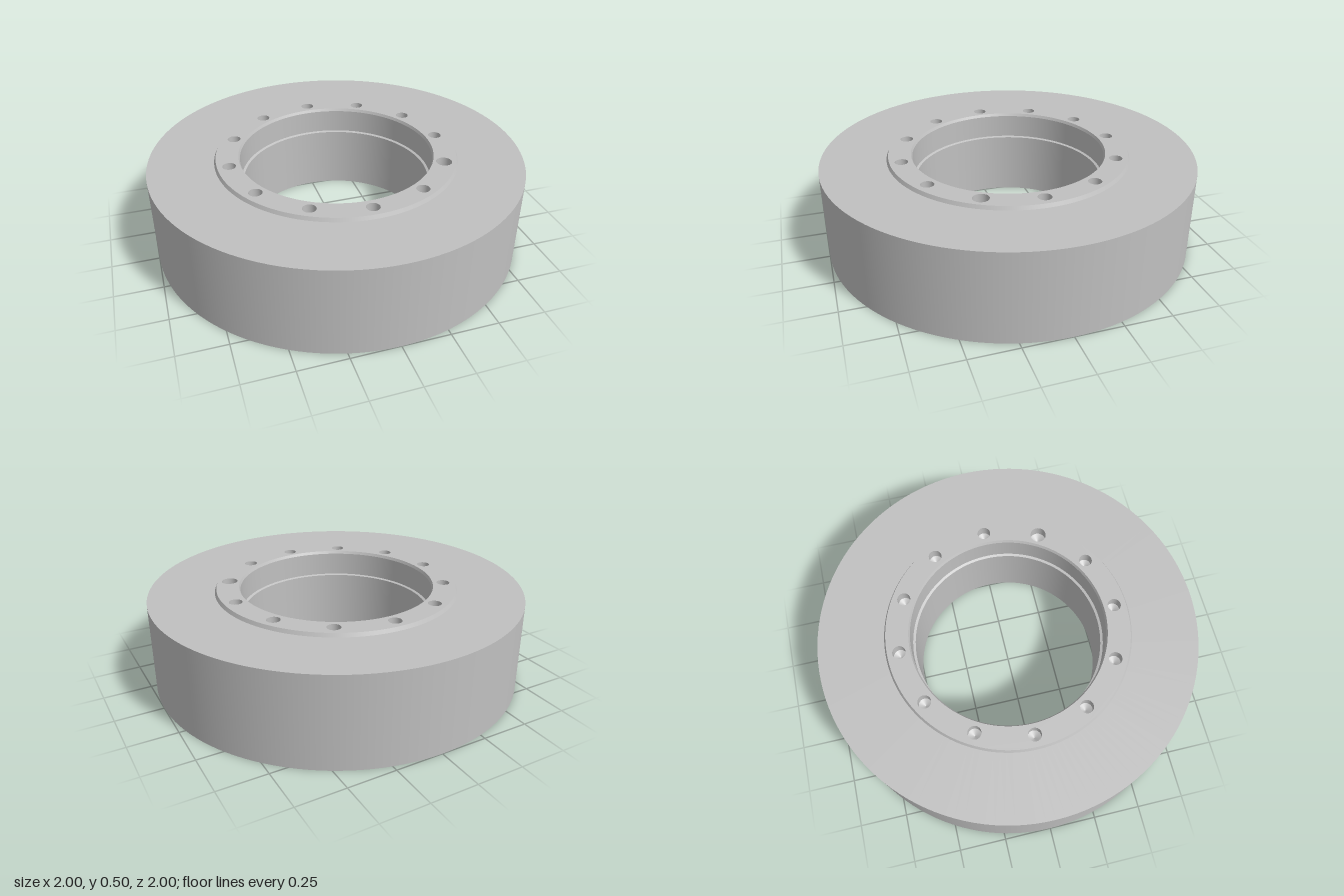
import * as THREE from 'three';

const SEG = 128, HOLE_SEG = 32;
const TOP = 0.5, BODY = 0.481;

export function createModel() {
  const model = new THREE.Group();
  model.name = 'ringBlock';
  const steel = new THREE.MeshStandardMaterial({ color: 0xc0c0c0 });
  steel.name = 'grey steel';

  const add = (name, geometry, parent = model) => {
    const mesh = new THREE.Mesh(geometry, steel);
    mesh.name = name;
    parent.add(mesh);
    return mesh;
  };

  // One turned face between two profile points, so every edge stays sharp
  const turned = (name, r0, y0, r1, y1, seg = SEG, parent = model) =>
    add(name, new THREE.LatheGeometry(
      [new THREE.Vector2(r0, y0), new THREE.Vector2(r1, y1)], seg), parent);

  // Points around a circle
  const circle = (cx, cy, r, seg) => Array.from({ length: seg }, (_, i) => {
    const a = (i / seg) * Math.PI * 2;
    return new THREE.Vector2(cx + r * Math.cos(a), cy + r * Math.sin(a));
  });

  // Body: underside, outer wall and shoulder
  turned('underside', 0.503, 0, 1, 0);
  turned('outerWall', 1, 0, 1, BODY);
  turned('shoulder', 1, BODY, 0.652, BODY);

  // Raised flange edge
  turned('flangeEdge', 0.652, BODY, 0.643, TOP);

  // Bore: top chamfer, wider upper wall, small ledge, lower wall
  turned('boreChamfer', 0.523, TOP, 0.516, 0.485);
  turned('boreUpperWall', 0.516, 0.485, 0.516, 0.355);
  turned('boreLedge', 0.516, 0.355, 0.503, 0.35);
  turned('boreLowerWall', 0.503, 0.35, 0.503, 0);

  // Flange face with its bolt holes; one hole is larger
  const face = new THREE.Shape(circle(0, 0, 0.643, SEG));
  face.holes.push(new THREE.Path(circle(0, 0, 0.523, SEG)));
  for (let i = 0; i < 12; i++) {
    const a = (i / 12) * Math.PI * 2;
    const r = i === 11 ? 0.042 : 0.035;
    const x = 0.58 * Math.cos(a), y = 0.58 * Math.sin(a);
    face.holes.push(new THREE.Path(circle(x, y, r, HOLE_SEG)));

    // Blind drilled hole with a conical bottom
    const hole = new THREE.Group();
    hole.name = 'boltHole' + (i + 1);
    hole.position.set(x, TOP, -y);
    turned('holeWall', r, 0, r, -0.06, HOLE_SEG, hole);
    turned('holeTip', r, -0.06, 0, -0.06 - r * 0.6, HOLE_SEG, hole);
    model.add(hole);
  }
  const flangeFace = add('flangeFace', new THREE.ShapeGeometry(face));
  flangeFace.rotation.x = -Math.PI / 2;
  flangeFace.position.y = TOP;

  return model;
}
